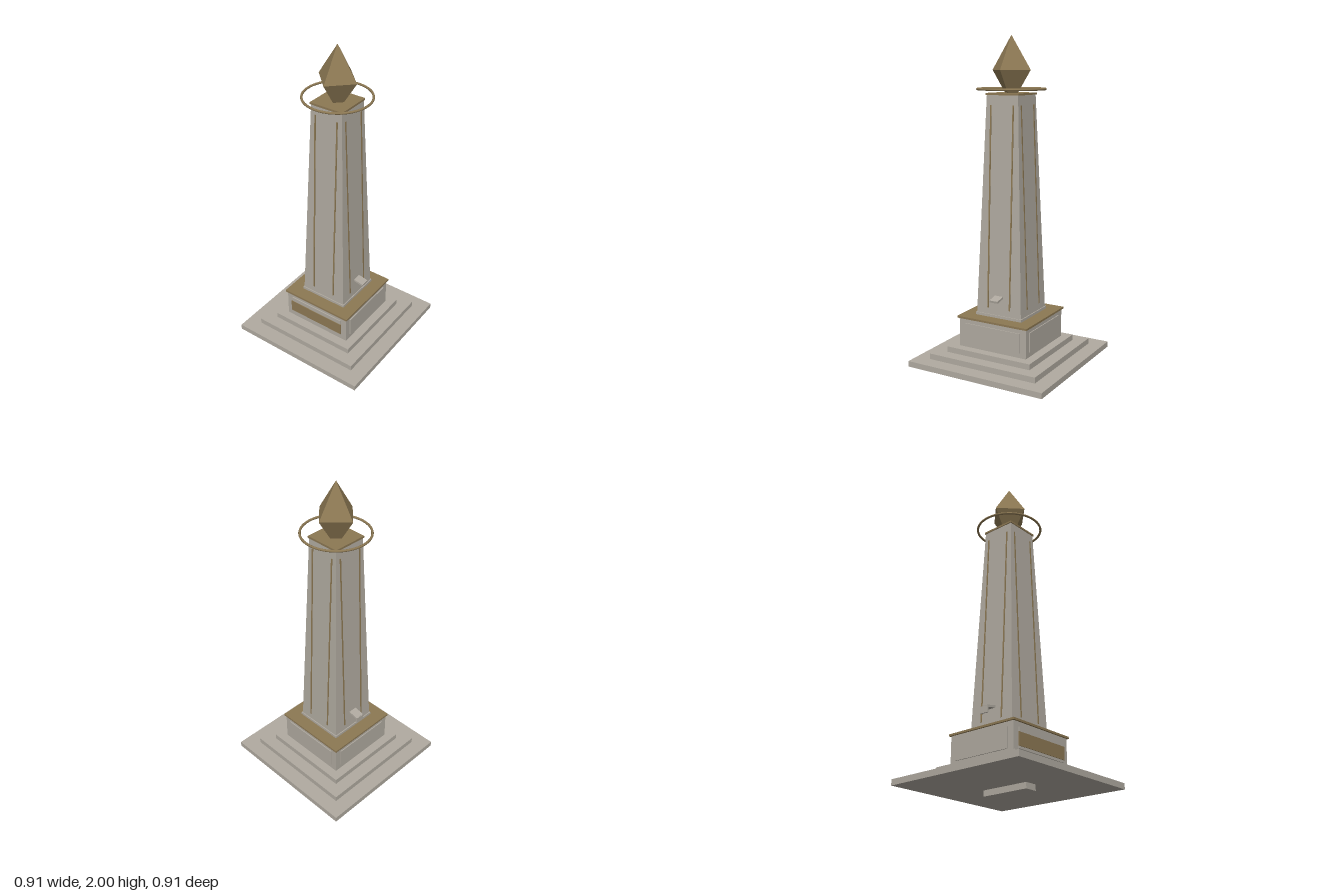
import * as THREE from 'three';

export function createModel() {
  const model = new THREE.Group();
  model.name = 'obelisk';

  const stone = new THREE.MeshStandardMaterial({ color: 0xb0aaa0 });
  stone.name = 'pale stone';
  const bronze = new THREE.MeshStandardMaterial({ color: 0x8c7853 });
  bronze.name = 'bronze';

  const add = (name, geometry, material, parent = model) => {
    const mesh = new THREE.Mesh(geometry, material);
    mesh.name = name;
    parent.add(mesh);
    return mesh;
  };
  // Box given by full width, full depth and its bottom and top heights
  const block = (name, w, d, y0, y1, material, parent) => {
    const mesh = add(name, new THREE.BoxGeometry(w, y1 - y0, d), material, parent);
    mesh.position.y = (y0 + y1) / 2;
    return mesh;
  };

  // Foot, steps and pedestal
  block('foot', 0.08, 0.31, 0, 0.036, stone);
  block('lowerStep', 0.91, 0.91, 0.035, 0.07, stone);
  block('middleStep', 0.724, 0.724, 0.07, 0.105, stone);
  block('upperStep', 0.57, 0.57, 0.105, 0.14, stone);
  block('pedestal', 0.46, 0.46, 0.14, 0.32, stone);
  block('pedestalCap', 0.48, 0.48, 0.318, 0.33, bronze);
  block('shaftMoulding', 0.318, 0.318, 0.33, 0.346, stone);

  // Tapered square shaft
  const y0 = 0.346, y1 = 1.656, half0 = 0.153, half1 = 0.105;
  const halfAt = (y) => half0 + (half1 - half0) * (y - y0) / (y1 - y0);
  const shaftGeometry = new THREE.BoxGeometry(1, y1 - y0, 1);
  const p = shaftGeometry.attributes.position;
  for (let i = 0; i < p.count; i++) {
    const s = 2 * (p.getY(i) > 0 ? half1 : half0);
    p.setX(i, p.getX(i) * s);
    p.setZ(i, p.getZ(i) * s);
  }
  shaftGeometry.computeVertexNormals();
  add('shaft', shaftGeometry, stone).position.y = (y0 + y1) / 2;

  // Raised panel and two inlaid strips on each of the four sides
  const stripLow = 0.385, stripHigh = 1.6;
  const lean = Math.atan((half0 - half1) / (y1 - y0));
  for (let i = 0; i < 4; i++) {
    const side = new THREE.Group();
    side.name = 'side' + (i + 1);
    side.rotation.y = i * Math.PI / 2;
    model.add(side);
    block('raisedPanel', 0.38, 0.01, 0.17, 0.29, stone, side).position.z = 0.231;
    for (const x of [-0.075, 0.075]) {
      const strip = block('inlayStrip', 0.009, 0.006, stripLow, stripHigh, bronze, side);
      strip.position.x = x;
      strip.position.z = halfAt((stripLow + stripHigh) / 2);
      strip.rotation.x = -lean;
    }
  }

  // Blank plaque on the front panel
  block('plaque', 0.39, 0.006, 0.185, 0.262, bronze).position.z = 0.237;

  // Sloping ledges on both flanks, the right one with a turned-down lip
  for (const s of [-1, 1]) {
    const ledge = add(s > 0 ? 'leftLedge' : 'rightLedge',
      new THREE.BoxGeometry(0.07, 0.013, 0.056), stone);
    ledge.position.set(s * 0.178, 0.453, 0);
    ledge.rotation.z = -s * 0.2;
  }
  block('ledgeLip', 0.008, 0.056, 0.41, 0.45, stone).position.x = -0.211;

  // Crown: cap plate, ring and faceted finial
  block('shaftCap', 0.22, 0.22, 1.656, 1.668, bronze);
  const ring = add('ring', new THREE.TorusGeometry(0.2, 0.007, 10, 64), bronze);
  ring.rotation.x = Math.PI / 2;
  ring.position.y = 1.69;
  const finial = add('finial', new THREE.OctahedronGeometry(1), bronze);
  finial.scale.set(0.129, 0.2, 0.129);
  finial.position.y = 1.8;

  return model;
}
